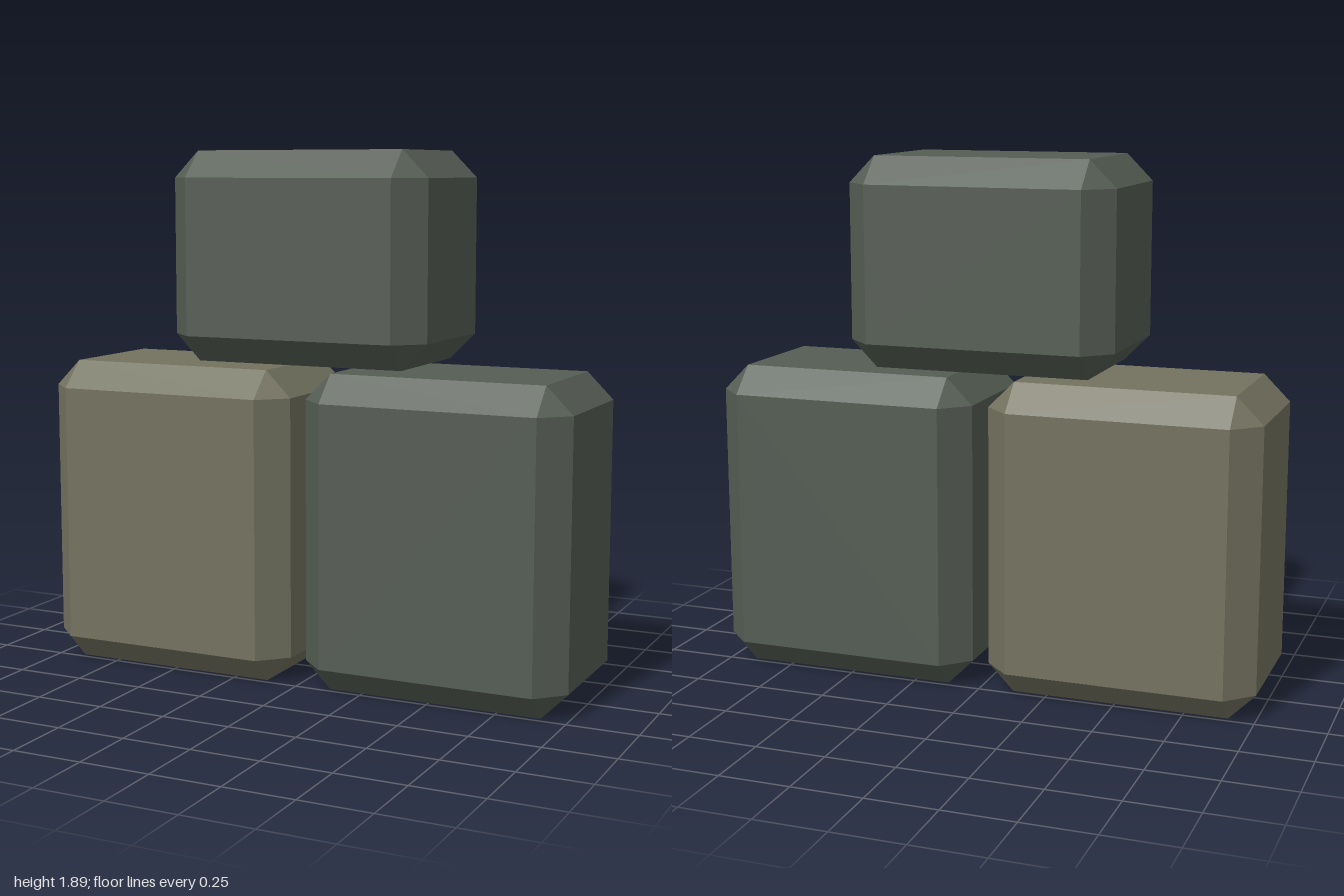
import * as THREE from 'three';
import { ConvexGeometry } from 'three/addons/geometries/ConvexGeometry.js';

const CHAMFER = 0.095;
const DEPTH = 0.645;

// Box with every edge cut at 45 degrees and triangular corners
function chamferedBox(w, h, d, c) {
  const points = [];
  for (const sx of [-1, 1]) for (const sy of [-1, 1]) for (const sz of [-1, 1]) {
    const [x, y, z] = [w / 2, h / 2, d / 2];
    points.push(
      new THREE.Vector3(sx * x, sy * (y - c), sz * (z - c)),
      new THREE.Vector3(sx * (x - c), sy * y, sz * (z - c)),
      new THREE.Vector3(sx * (x - c), sy * (y - c), sz * z)
    );
  }
  return new ConvexGeometry(points);
}

export function createModel() {
  const group = new THREE.Group();
  group.name = 'stackedBlocks';

  const greenStone = new THREE.MeshStandardMaterial({ color: 0x555d54 });
  greenStone.name = 'greenGreyStone';
  const oliveStone = new THREE.MeshStandardMaterial({ color: 0x737260 });
  oliveStone.name = 'oliveStone';

  // Each block: name, material, width, height, centre x, bottom y
  const blocks = [
    ['rightLowerBlock', oliveStone, 0.97, 1.125, -0.515, 0],
    ['leftLowerBlock', greenStone, 0.97, 1.125, 0.515, 0],
    ['upperBlock', greenStone, 0.97, 0.743, 0, 1.147],
  ];
  for (const [name, material, w, h, x, y] of blocks) {
    const mesh = new THREE.Mesh(chamferedBox(w, h, DEPTH, CHAMFER), material);
    mesh.name = name;
    mesh.position.set(x, y + h / 2, 0);
    group.add(mesh);
  }
  return group;
}
